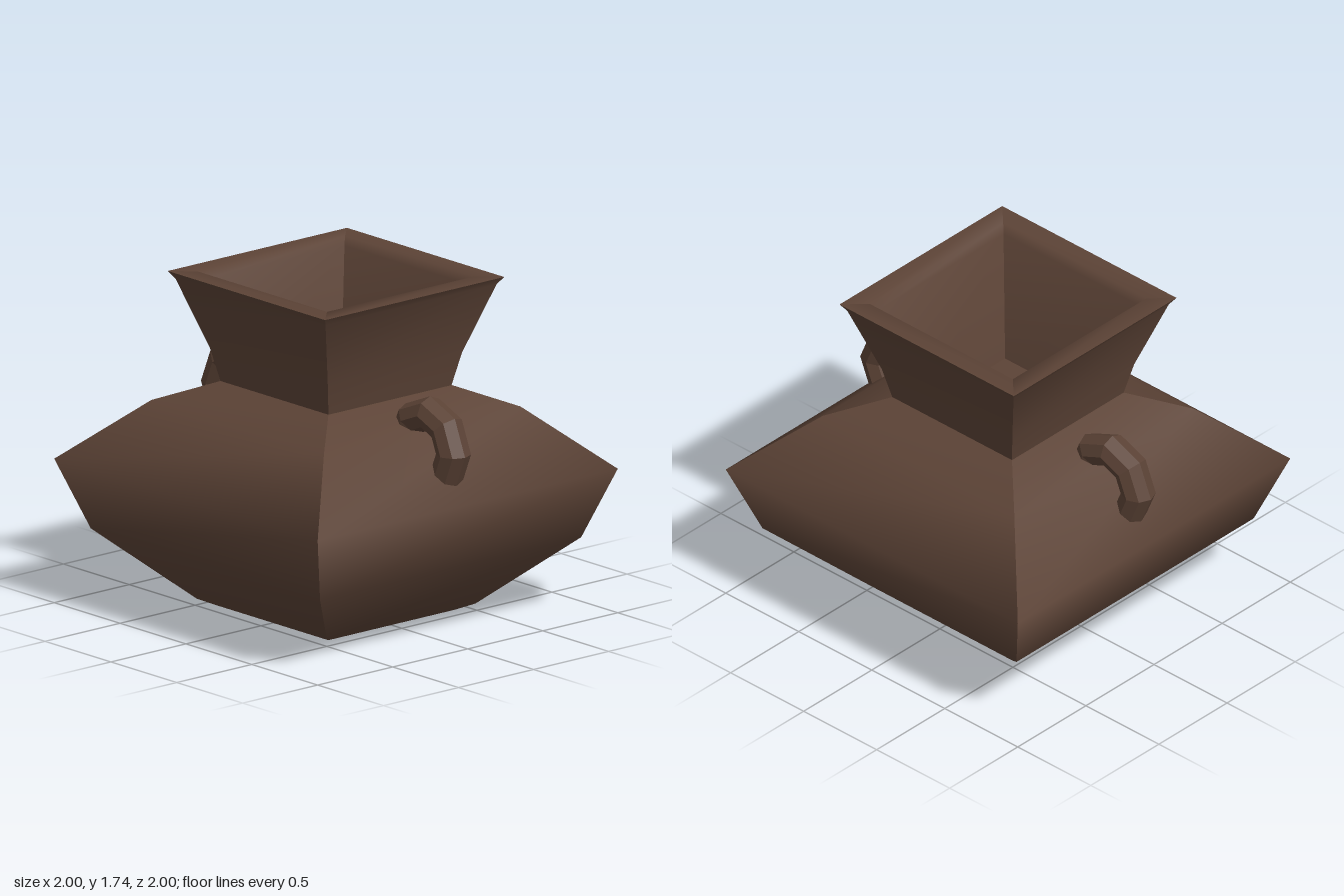
import * as THREE from 'three';
import { mergeGeometries, toCreasedNormals } from 'three/addons/utils/BufferGeometryUtils.js';

const COLOR = 0x5c4336;

// Half-width and height, from the underside, up the outside, over the rim and down inside
const PROFILE = [
  [0, 0], [0.42, 0], [0.495, 0.035], [0.87, 0.39], [1, 0.75], [0.655, 1.065],
  [0.41, 1.17], [0.447, 1.34], [0.57, 1.7], [0.597, 1.738],
  [0.49, 1.738], [0.46, 1.7], [0.3, 1.1], [0, 1.1],
];

// One of the four walls, a strip swept along the profile
function wallGeometry() {
  const positions = [];
  for (let i = 0; i < PROFILE.length - 1; i++) {
    const [h0, y0] = PROFILE[i];
    const [h1, y1] = PROFILE[i + 1];
    const a = [-h0, y0, h0], b = [h0, y0, h0];
    const c = [h1, y1, h1], d = [-h1, y1, h1];
    if (h0 > 0) positions.push(...a, ...b, ...c);
    if (h1 > 0) positions.push(...a, ...c, ...d);
  }
  const geometry = new THREE.BufferGeometry();
  geometry.setAttribute('position', new THREE.Float32BufferAttribute(positions, 3));
  return toCreasedNormals(geometry, THREE.MathUtils.degToRad(72));
}

export function createModel() {
  const model = new THREE.Group();
  model.name = 'squareVase';

  // Square body with flared neck; separate walls keep the corners sharp
  const wall = wallGeometry();
  const walls = [0, 1, 2, 3].map((k) => wall.clone().rotateY((k * Math.PI) / 2));
  const body = new THREE.Mesh(mergeGeometries(walls), new THREE.MeshStandardMaterial({ color: COLOR }));
  body.name = 'body';
  model.add(body);

  // Ring handles sunk into the front and back shoulders
  const ring = new THREE.TorusGeometry(0.177, 0.088, 8, 8).rotateY(Math.PI / 2);
  const ringMaterial = new THREE.MeshStandardMaterial({ color: COLOR, flatShading: true });
  for (const side of [1, -1]) {
    const handle = new THREE.Mesh(ring, ringMaterial);
    handle.name = side > 0 ? 'frontHandle' : 'backHandle';
    handle.position.set(0, 0.99, side * 0.715);
    model.add(handle);
  }
  return model;
}
